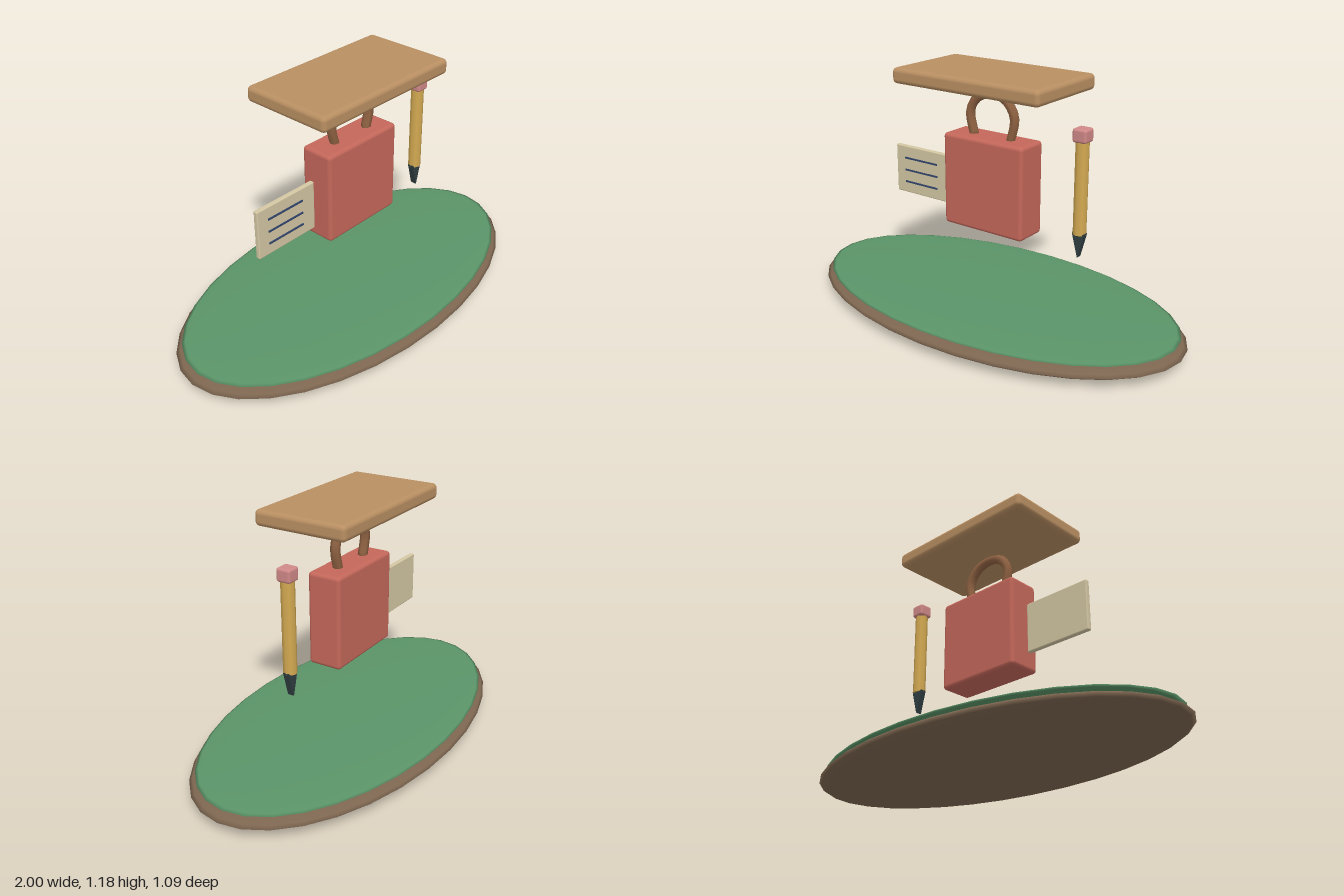
import * as THREE from 'three';
import { RoundedBoxGeometry } from 'three/addons/geometries/RoundedBoxGeometry.js';
import { mergeVertices } from 'three/addons/utils/BufferGeometryUtils.js';

export function createModel() {
  const model = new THREE.Group();

  function add(name, geometry, color, x = 0, y = 0, z = 0, parent = model) {
    const mesh = new THREE.Mesh(geometry, new THREE.MeshStandardMaterial({ color }));
    mesh.name = name;
    mesh.position.set(x, y, z);
    parent.add(mesh);
    return mesh;
  }
  const rounded = (w, h, d, r) => new RoundedBoxGeometry(w, h, d, 3, r);
  const group = (name) => {
    const g = new THREE.Group();
    g.name = name;
    model.add(g);
    return g;
  };

  // Flattened oval island with a grassy top
  add('base', new THREE.SphereGeometry(1, 32, 16).scale(1, 0.058, 0.545), 0x7d6650, 0, 0.06);
  add('grass', new THREE.SphereGeometry(1, 32, 16).scale(0.97, 0.018, 0.52), 0x5b9468, 0, 0.103);

  // Bag body with a hexagonal-section arched handle
  const bag = group('bag');
  add('bagBody', rounded(0.446, 0.445, 0.167, 0.018), 0xc4675a, 0, 0.657, 0, bag);
  const arch = new THREE.CatmullRomCurve3(
    [[-0.1, 0.86], [-0.124, 0.985], [-0.078, 1.055], [0, 1.077], [0.078, 1.055], [0.124, 0.985], [0.1, 0.86]]
      .map(([x, y]) => new THREE.Vector3(x, y, 0)));
  const hexagon = new THREE.Shape(Array.from({ length: 6 }, (_, i) => {
    const a = Math.PI / 6 + i * Math.PI / 3;
    return new THREE.Vector2(0.023 * Math.cos(a), 0.023 * Math.sin(a));
  }));
  let handle = new THREE.ExtrudeGeometry(hexagon, { steps: 20, extrudePath: arch });
  handle.deleteAttribute('uv');
  handle.deleteAttribute('normal');
  handle = mergeVertices(handle, 1e-5);
  handle.computeVertexNormals();
  add('bagHandle', handle, 0x8f6242, 0, 0, 0, bag);

  // Slab above the bag
  add('topBoard', rounded(0.804, 0.074, 0.455, 0.022), 0xb98f62, 0, 1.148);

  // Note card with three written lines on its front
  const note = group('note');
  add('card', rounded(0.34, 0.242, 0.024, 0.006), 0xd3c6a2, -0.419, 0.623, 0, note);
  for (const y of [0.683, 0.621, 0.56])
    add('noteLine', new THREE.BoxGeometry(0.205, 0.008, 0.006), 0x33456b, -0.428, y, 0.014, note);

  // Pencil: shaft, eraser and wedge-shaped point
  const pencil = group('pencil');
  add('pencilShaft', new THREE.CylinderGeometry(0.031, 0.031, 0.425, 8), 0xd4aa52, 0.48, 0.729, 0, pencil);
  add('eraser', rounded(0.07, 0.062, 0.07, 0.012), 0xcf8887, 0.48, 0.967, 0, pencil);
  const wedge = new THREE.Shape([[-0.025, 0.518], [0, 0.416], [0.025, 0.518]]
    .map(([x, y]) => new THREE.Vector2(x, y)));
  const tip = new THREE.ExtrudeGeometry(wedge, {
    depth: 0.024, bevelEnabled: true, bevelThickness: 0.006, bevelSize: 0.006, bevelSegments: 2,
  });
  add('pencilTip', tip, 0x303e42, 0.48, 0, -0.012, pencil);

  return model;
}
